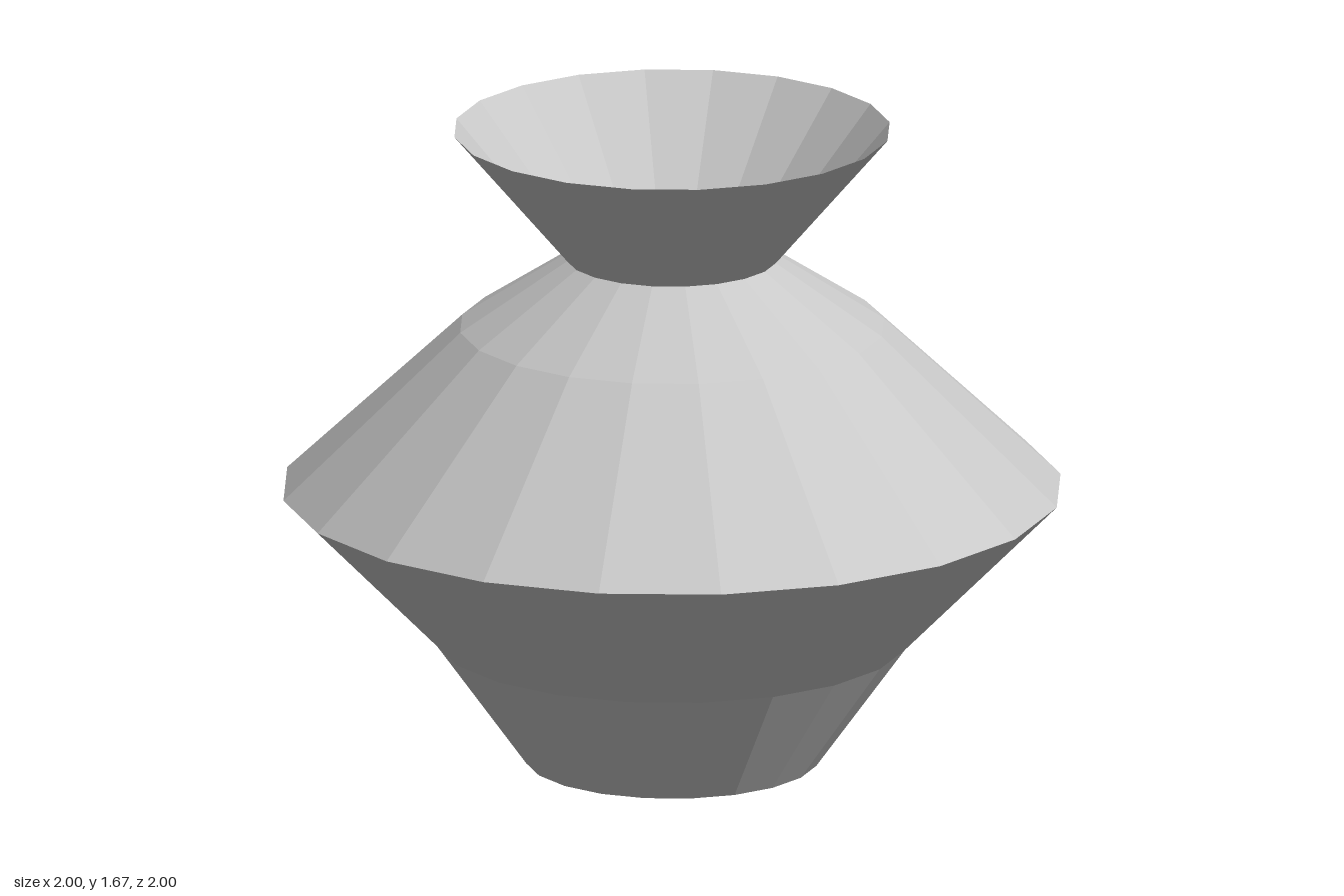
import * as THREE from 'three';

const SIDES = 20;

export function createModel() {
  const group = new THREE.Group();
  group.name = 'vase';

  // Thin open shell, seen from inside and outside
  const clay = new THREE.MeshStandardMaterial({ color: 0xc8c8c8, flatShading: true, side: THREE.DoubleSide });
  clay.name = 'grey clay';

  const add = (name, geometry) => {
    const mesh = new THREE.Mesh(geometry, clay);
    mesh.name = name;
    group.add(mesh);
  };
  // Each profile is [radius, height] from bottom to top
  const ring = (name, profile) =>
    add(name, new THREE.LatheGeometry(profile.map(([r, y]) => new THREE.Vector2(r, y)), SIDES));

  // Flat floor
  add('base', new THREE.CircleGeometry(0.375, SIDES).rotateX(Math.PI / 2));

  // Body widening to the waist, then closing to the neck
  ring('lowerBody', [[0.375, 0], [0.605, 0.32], [1, 0.72]]);
  ring('shoulder', [[1, 0.72], [0.545, 1.15], [0.27, 1.33]]);

  // Flared open mouth
  ring('mouth', [[0.27, 1.33], [0.56, 1.67]]);

  return group;
}
